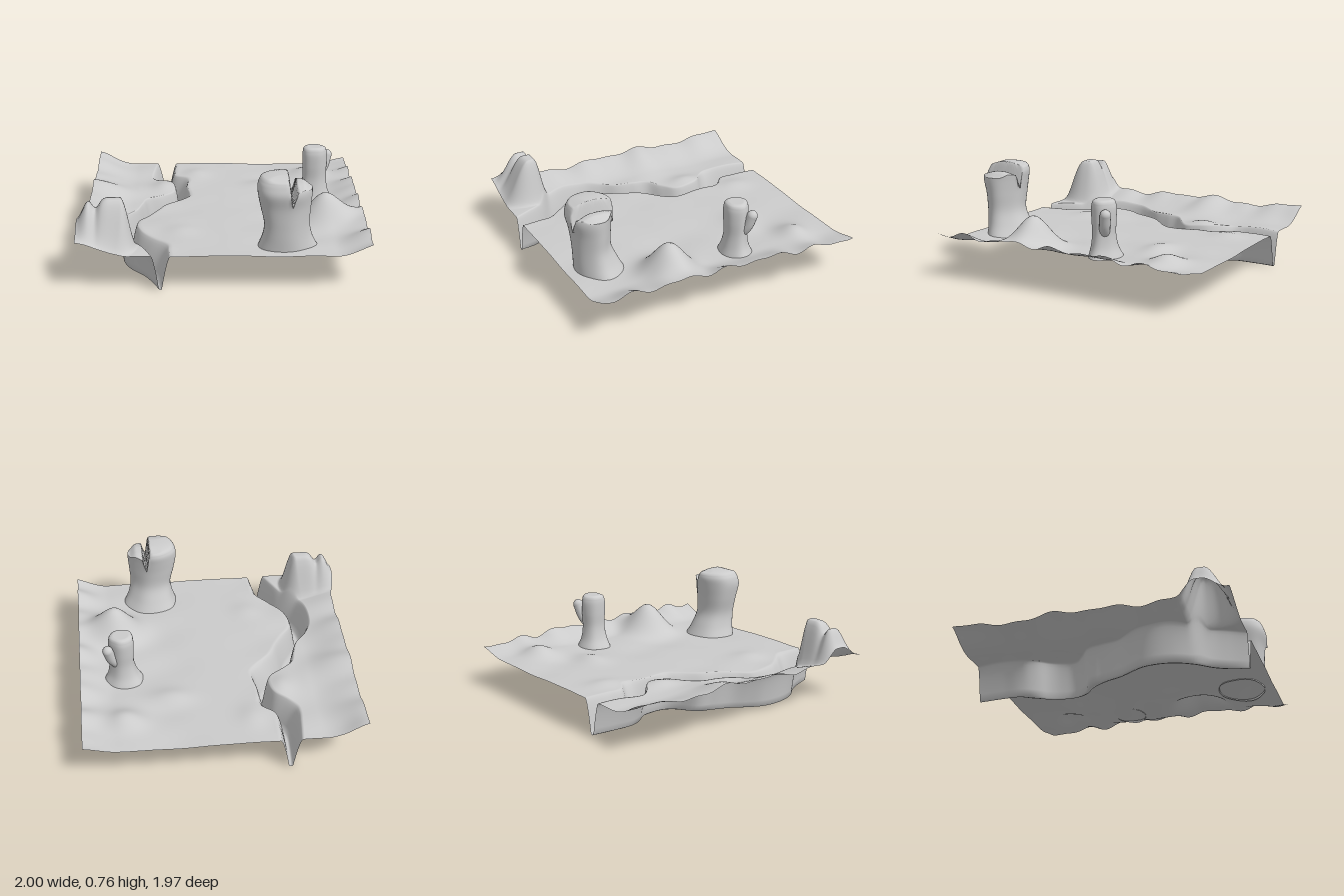
import * as THREE from 'three';

const material = new THREE.MeshStandardMaterial({ color: 0xcccccc, side: THREE.DoubleSide });
const { lerp, smoothstep } = THREE.MathUtils;
const gauss = (d, s) => Math.exp(-(d * d) / (2 * s * s));

// Skin rows of points; closed rows wrap around
function skin(name, rows, closed) {
  const n = rows[0].length, index = [];
  for (let r = 0; r < rows.length - 1; r++) {
    for (let c = 0; c < (closed ? n : n - 1); c++) {
      const a = r * n + c, d = r * n + (c + 1) % n;
      index.push(a, a + n, d, d, a + n, d + n);
    }
  }
  const geometry = new THREE.BufferGeometry();
  geometry.setAttribute('position', new THREE.Float32BufferAttribute(rows.flat(2), 3));
  geometry.setIndex(index);
  geometry.computeVertexNormals();
  const mesh = new THREE.Mesh(geometry, material);
  mesh.name = name;
  return mesh;
}

// Gully course along z: left rim, floor left, floor right, right rim
const gullyZ = [-0.99, -0.8, -0.68, -0.62, -0.56, -0.5, -0.4, -0.28, -0.21, -0.15,
  -0.03, 0.1, 0.2, 0.3, 0.5, 0.64, 0.75, 0.86, 0.98];
const gullyX = [
  -0.51, -0.45, -0.42, -0.36,
  -0.53, -0.46, -0.43, -0.36,
  -0.54, -0.46, -0.42, -0.35,
  -0.53, -0.44, -0.38, -0.27,
  -0.48, -0.40, -0.35, -0.25,
  -0.40, -0.35, -0.32, -0.26,
  -0.36, -0.32, -0.30, -0.26,
  -0.38, -0.33, -0.30, -0.24,
  -0.47, -0.39, -0.34, -0.24,
  -0.55, -0.49, -0.41, -0.28,
  -0.59, -0.54, -0.49, -0.40,
  -0.63, -0.59, -0.54, -0.47,
  -0.71, -0.65, -0.60, -0.53,
  -0.76, -0.70, -0.65, -0.60,
  -0.76, -0.70, -0.65, -0.57,
  -0.71, -0.64, -0.58, -0.47,
  -0.60, -0.55, -0.49, -0.38,
  -0.54, -0.49, -0.44, -0.37,
  -0.49, -0.44, -0.42, -0.36,
];
const gully = new THREE.CubicInterpolant(gullyZ, gullyX, 4, new Float32Array(4));

// Mounds and dips: x, z, height, spread in x, spread in z
const mounds = [
  [0.73, 0.35, 0.215, 0.115, 0.11],
  [0.70, -0.69, 0.07, 0.10, 0.08],
  [0.36, -0.46, 0.035, 0.11, 0.07],
  [-0.85, -0.20, 0.05, 0.14, 0.10],
  [-0.95, -0.95, 0.03, 0.08, 0.10],
  [-0.44, -0.40, 0.03, 0.06, 0.09],
  [-0.20, -0.72, 0.025, 0.07, 0.09],
  [-0.30, 0.52, 0.02, 0.08, 0.08],
  [0.40, 0.1, -0.01, 0.16, 1.2],
];

function groundHeight(x, z) {
  let y = 0.248;
  for (const [mx, mz, h, sx, sz] of mounds) y += h * gauss(x - mx, sx) * gauss(z - mz, sz);
  // outer edges curl up
  const right = smoothstep(x, 0.76, 1.08), left = smoothstep(-x, 0.66, 1.06);
  y += right * (0.09 + 0.018 * Math.sin(z * 17 + 1) + 0.012 * Math.sin(z * 27)
    - 0.035 * smoothstep(-z, 0.3, 0.9));
  y += left * (0.085 + 0.012 * Math.sin(z * 13) + 0.008 * Math.sin(z * 25 + 2));
  y += 0.008 * Math.sin(x * 9 + z * 4) * Math.sin(z * 11 - x * 3) * smoothstep(Math.abs(x), 0, 0.5);
  // steep corner outcrop, rounded in plan, with a notched top
  const round = 0.05 * Math.pow((z - 0.82) / 0.16, 2);
  const outcrop = smoothstep(-x - round, 0.59, 0.69) * smoothstep(z, 0.62, 0.74)
    * (1 - smoothstep(z, 0.79, 1.0));
  const top = 0.585 - 0.02 * smoothstep(-x, 0.78, 0.86) - 0.055 * gauss(x + 0.87, 0.022)
    - 0.14 * smoothstep(-x, 0.91, 1.01);
  return lerp(y, top, outcrop);
}

function makeGround() {
  const rows = [];
  for (let r = 0; r <= 120; r++) {
    const z = lerp(-0.99, 0.98, r / 120);
    const [l, fl, fr, rr] = gully.evaluate(z);
    const edge = -0.97 - 0.03 * smoothstep(z, 0.55, 0.7);
    const row = [];
    const put = (x, y) => row.push([x, y, z]);
    for (let i = 0; i <= 40; i++) { // left bank
      const x = lerp(edge, l, i / 40);
      put(x, groundHeight(x, z));
    }
    for (let i = 1; i <= 8; i++) { // left wall
      const t = i / 8;
      put(lerp(l, fl, t), lerp(groundHeight(l, z), 0.01, Math.pow(t, 1.5)));
    }
    put((fl + fr) / 2, 0.002);
    for (let i = 0; i < 8; i++) { // right wall
      const t = 1 - i / 8;
      put(lerp(rr, fr, t), lerp(groundHeight(rr, z), 0.01, Math.pow(t, 1.5)));
    }
    for (let i = 0; i <= 60; i++) { // plain
      const x = lerp(rr, 1, i / 60);
      put(x, groundHeight(x, z));
    }
    rows.push(row);
  }
  return skin('ground', rows, false);
}

// Pillar from [centre x, centre z, radius x, radius z, y] sections, trimmed by a top surface
function makePillar(name, sections, top) {
  const times = sections.map((_, i) => i);
  const spline = new THREE.CubicInterpolant(times, sections.flat(), 5, new Float32Array(5));
  const last = sections.length - 1, rows = [], N = 64;
  const ring = (cx, cz, rx, rz, y) => {
    const row = [];
    for (let i = 0; i < N; i++) {
      const a = i / N * Math.PI * 2;
      const k = 1 + 0.03 * Math.sin(a * 3 + 1) + 0.02 * Math.sin(a * 5 + y * 4);
      const x = cx + rx * k * Math.cos(a), z = cz + rz * k * Math.sin(a);
      row.push([x, Math.min(y, top(x, z)), z]);
    }
    rows.push(row);
  };
  for (let i = 0; i <= 30; i++) ring(...spline.evaluate(i / 30 * last));
  const [cx, cz, rx, rz, y] = sections[last];
  for (let i = 1; i <= 18; i++) { // rounded cap
    const s = 1 - i / 18;
    ring(cx, cz, rx * s, rz * s, y + 0.03 * Math.sqrt(1 - s * s));
  }
  return skin(name, rows, true);
}

export function createModel() {
  const model = new THREE.Group();
  model.add(makeGround());

  // Large pillar, split into a tall and a lower lobe
  model.add(makePillar('largePillar', [
    [0.43, 0.74, 0.205, 0.17, 0.232],
    [0.425, 0.765, 0.17, 0.15, 0.32],
    [0.42, 0.787, 0.155, 0.132, 0.42],
    [0.41, 0.79, 0.172, 0.138, 0.54],
    [0.405, 0.795, 0.185, 0.155, 0.64],
    [0.405, 0.785, 0.182, 0.153, 0.70],
    [0.405, 0.78, 0.165, 0.142, 0.735],
  ], (x, z) => {
    const lobes = x < 0.46
      ? 0.765 - 0.16 * smoothstep(x, 0.43, 0.46)
      : 0.605 + 0.1 * smoothstep(x, 0.46, 0.49) - 0.035 * smoothstep(x, 0.53, 0.59);
    return lobes - 0.05 * smoothstep(z, 0.8, 1.0) - 0.02 * smoothstep(0.75 - z, 0, 0.12);
  }));

  // Small pillar with a stout side finger
  const small = new THREE.Group();
  small.name = 'smallPillar';
  small.add(makePillar('smallPillarTrunk', [
    [0.68, -0.205, 0.14, 0.115, 0.24],
    [0.685, -0.2, 0.105, 0.092, 0.31],
    [0.69, -0.2, 0.088, 0.08, 0.40],
    [0.69, -0.2, 0.09, 0.085, 0.50],
    [0.69, -0.2, 0.09, 0.087, 0.58],
    [0.69, -0.2, 0.085, 0.08, 0.62],
  ], () => 0.642));
  const fingerPath = new THREE.CatmullRomCurve3([
    new THREE.Vector3(0.72, 0.40, -0.22),
    new THREE.Vector3(0.765, 0.47, -0.25),
    new THREE.Vector3(0.79, 0.555, -0.27),
  ]);
  const finger = new THREE.Mesh(new THREE.TubeGeometry(fingerPath, 12, 0.038, 16), material);
  finger.name = 'finger';
  const tip = new THREE.Mesh(new THREE.SphereGeometry(0.038, 16, 10), material);
  tip.name = 'fingerTip';
  tip.position.set(0.79, 0.555, -0.27);
  small.add(finger, tip);
  model.add(small);
  return model;
}
